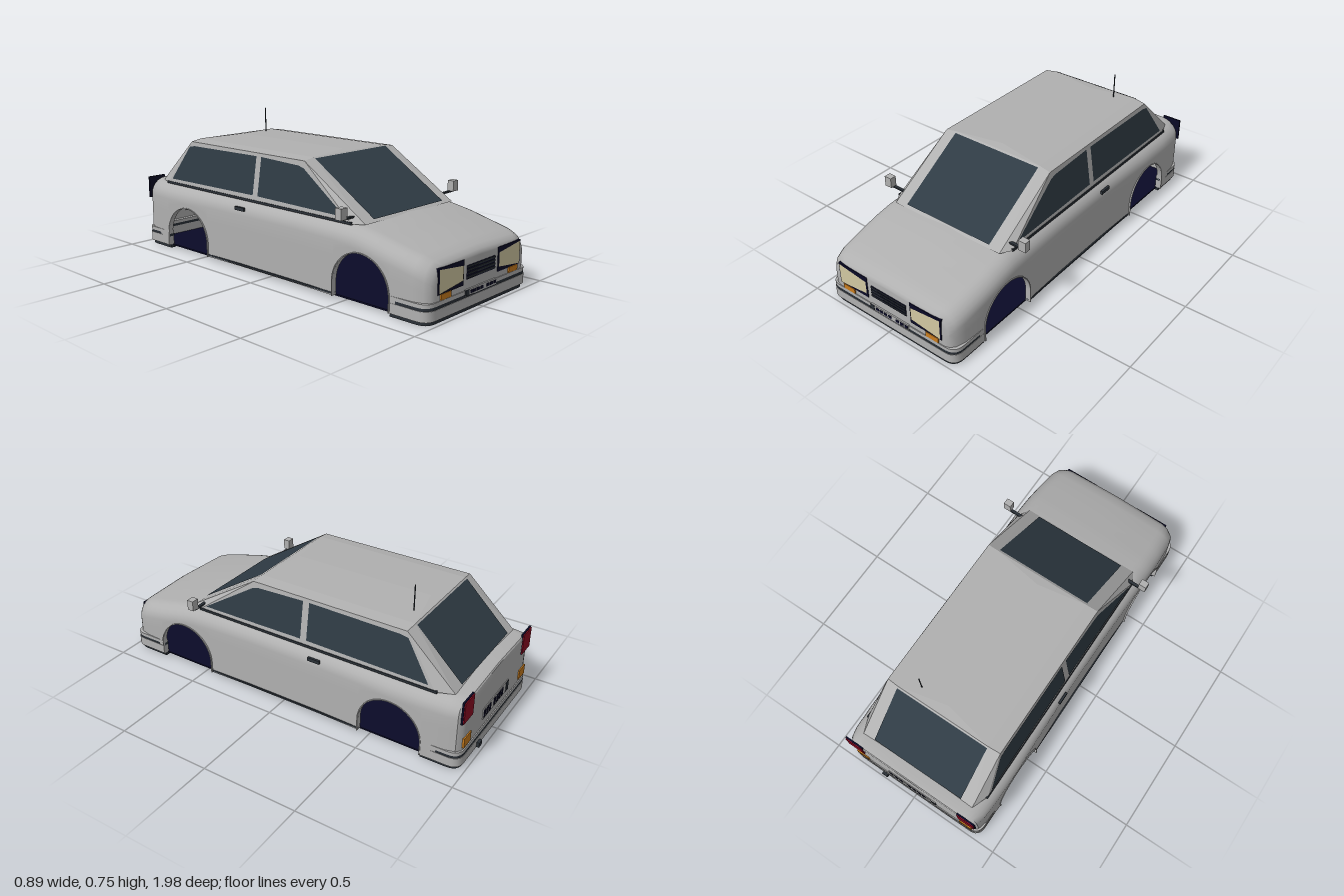
import * as THREE from 'three';
import { toCreasedNormals } from 'three/addons/utils/BufferGeometryUtils.js';
import { ConvexGeometry } from 'three/addons/geometries/ConvexGeometry.js';

const mat = (name, color, side = THREE.FrontSide) => {
  const m = new THREE.MeshStandardMaterial({ color, side });
  m.name = name;
  return m;
};

export function createModel() {
  const car = new THREE.Group();
  car.name = 'car';
  const paint = mat('silver paint', 0xb0b0b0, THREE.DoubleSide);
  const glass = mat('dark glass', 0x2f3b44, THREE.DoubleSide);
  const trim = mat('dark trim', 0x2a3037);
  const navy = mat('navy black', 0x0a0a26, THREE.DoubleSide);
  const lens = mat('cream lens', 0xd2c8a2, THREE.DoubleSide);
  const orange = mat('orange lens', 0xc87c1e);
  const red = mat('red lens', 0x8e0a22);

  const add = (name, geo, material) => {
    const m = new THREE.Mesh(geo, material);
    m.name = name;
    car.add(m);
    return m;
  };
  // box given by its limits on each axis
  const box = (name, material, x0, x1, y0, y1, z0, z1) =>
    add(name, new THREE.BoxGeometry(Math.abs(x1 - x0), y1 - y0, Math.abs(z1 - z0)), material)
      .position.set((x0 + x1) / 2, (y0 + y1) / 2, (z0 + z1) / 2);
  const surface = (pos, index) => {
    const g = new THREE.BufferGeometry();
    g.setAttribute('position', new THREE.Float32BufferAttribute(pos, 3));
    g.setIndex(index);
    return g;
  };
  // flat convex plate from corner points
  const plate = (name, material, pts) => {
    const idx = [];
    for (let i = 1; i < pts.length - 1; i++) idx.push(0, i, i + 1);
    const g = surface(pts.flat(), idx);
    g.computeVertexNormals();
    return add(name, g, material);
  };

  // lower body: stations along z as [z, half width, top height]
  const shape = [
    [0.98, 0.335, 0.25], [0.973, 0.36, 0.264], [0.95, 0.38, 0.28], [0.9, 0.393, 0.297],
    [0.78, 0.4, 0.324], [0.68, 0.402, 0.348], [0.57, 0.4, 0.369], [0.45, 0.397, 0.373],
    [0.2, 0.391, 0.376], [-0.2, 0.391, 0.376], [-0.45, 0.397, 0.375], [-0.615, 0.403, 0.374],
    [-0.78, 0.402, 0.372], [-0.9, 0.396, 0.372], [-0.95, 0.383, 0.375], [-0.968, 0.362, 0.373],
    [-0.973, 0.34, 0.367],
  ];
  const at = (z) => {
    let i = 0;
    while (i < shape.length - 2 && z < shape[i + 1][0]) i++;
    const a = shape[i], b = shape[i + 1], t = (a[0] - z) / (a[0] - b[0]);
    return [a[1] + (b[1] - a[1]) * t, a[2] + (b[2] - a[2]) * t];
  };
  const floorY = 0.018, archR = 0.165, archY = 0.085, archZ = [0.615, -0.615];
  const stations = shape.map((s) => [s[0], floorY])
    .filter(([z]) => archZ.every((c) => Math.abs(z - c) > archR + 0.001));
  for (const c of archZ) {
    const span = [[c + archR, floorY]];
    for (let k = 0; k <= 18; k++) {
      const a = (k / 18) * Math.PI;
      span.push([c + archR * Math.cos(a), archY + archR * Math.sin(a)]);
    }
    span.push([c - archR, floorY]);
    const where = stations.findIndex(([z]) => z < c);
    stations.splice(where, 0, ...span);
  }
  const section = (z, yb, s = 1) => {
    const [w, top] = at(z), half = [];
    const ys = Math.max(top - 0.092, yb + 0.005);
    for (let i = 0; i < 4; i++) half.push([w, yb + (ys - yb) * i / 4]);
    for (let i = 0; i <= 6; i++) {
      const a = (i / 6) * Math.PI / 2;
      half.push([w - 0.085 + 0.085 * Math.cos(a), ys + (top - 0.01 - ys) * Math.sin(a)]);
    }
    const ring = [...half, [0, top], ...half.map(([x, y]) => [-x, y]).reverse()];
    return ring.map(([x, y]) => [x * s, y, z]);
  };
  const rings = stations.map(([z, yb]) => section(z, yb));
  rings.unshift(section(shape[0][0], floorY, 0));
  rings.push(section(shape[shape.length - 1][0], floorY, 0));
  const n = rings[0].length, index = [];
  for (let r = 0; r < rings.length - 1; r++) {
    const cap = r === 0 || r === rings.length - 2;
    if (!cap && Math.abs(rings[r][0][2] - rings[r + 1][0][2]) < 1e-6) continue;
    for (let i = 0; i < n - 1; i++) {
      const a = r * n + i, b = a + n;
      index.push(a, b, a + 1, b, b + 1, a + 1);
    }
  }
  add('lowerBody', toCreasedNormals(surface(rings.flat(2), index), 0.6), paint);

  // underside
  box('floorPan', navy, -0.375, 0.375, 0.012, 0.02, -0.95, 0.95);

  // wheel arch lips
  const lip = new THREE.Shape();
  lip.moveTo(archR + 0.005, floorY).lineTo(archR + 0.005, archY);
  lip.absarc(0, archY, archR + 0.005, 0, Math.PI, false);
  lip.lineTo(-archR - 0.005, floorY).lineTo(-archR, floorY).lineTo(-archR, archY);
  lip.absarc(0, archY, archR, Math.PI, 0, true);
  lip.lineTo(archR, floorY);
  const lipGeo = new THREE.ExtrudeGeometry(lip, { depth: 0.03, bevelEnabled: false, curveSegments: 20 });
  for (const c of archZ) for (const s of [-1, 1]) {
    const m = add('wheelArchLip', lipGeo, paint);
    m.rotation.y = Math.PI / 2;
    m.position.set(s * 0.39 - 0.015, 0, c);
  }

  // cabin
  const up = 0.603, base = 0.362, corners = [];
  for (const s of [-1, 1]) {
    for (const [x, y, z] of [
      [0.328, base, 0.585], [0.362, base, 0.53], [0.362, base, -0.82], [0.328, base, -0.905],
      [0.325, up, 0.2], [0.325, up, -0.65], [0.26, 0.612, 0.195], [0.26, 0.612, -0.655],
      [0.001, 0.618, 0.15], [0.001, 0.618, -0.6],
    ]) corners.push(new THREE.Vector3(s * x, y, z));
  }
  add('cabin', new ConvexGeometry(corners), paint);
  box('beltSeal', trim, -0.365, 0.365, 0.358, 0.37, -0.83, 0.53);

  // windscreen and rear window lie just outside the cabin slopes
  plate('windscreen', glass, [[-0.26, 0.375, 0.575], [0.26, 0.375, 0.575], [0.26, 0.608, 0.206], [-0.26, 0.608, 0.206]]);
  plate('rearWindow', glass, [[0.26, 0.375, -0.902], [-0.26, 0.375, -0.902], [-0.26, 0.608, -0.664], [0.26, 0.608, -0.664]]);

  // side windows, mirrors, handles and sills
  const sideX = (y) => 0.362 - (0.037 * (y - base)) / (up - base) + 0.003;
  const panes = {
    frontSideWindow: [[0.49, 0.387], [-0.095, 0.393], [-0.095, 0.587], [0.165, 0.578], [0.2, 0.57]],
    rearSideWindow: [[-0.13, 0.393], [-0.785, 0.387], [-0.66, 0.575], [-0.62, 0.582], [-0.13, 0.587]],
  };
  for (const s of [-1, 1]) {
    for (const [name, pts] of Object.entries(panes)) {
      const p = pts.map(([z, y]) => [s * sideX(y), y, z]);
      plate(name, glass, s > 0 ? p : p.reverse());
    }
    box('mirror', paint, s * 0.402, s * 0.443, 0.393, 0.447, 0.505, 0.54);
    box('mirrorArm', trim, s * 0.335, s * 0.42, 0.386, 0.394, 0.508, 0.524);
    box('doorHandle', trim, s * 0.385, s * 0.397, 0.31, 0.328, -0.227, -0.16);
    box('sillStrip', trim, s * 0.38, s * 0.398, 0.024, 0.033, -0.45, 0.45);
  }

  // bumpers: stacked U-shaped bands
  const band = (name, material, y0, y1, w, end, flip) => {
    const u = new THREE.Shape(), r = 0.06, t = 0.03;
    u.moveTo(w, 0.78).lineTo(w, end - r).quadraticCurveTo(w, end, w - r, end);
    u.lineTo(r - w, end).quadraticCurveTo(-w, end, -w, end - r).lineTo(-w, 0.78).lineTo(t - w, 0.78);
    u.lineTo(t - w, end - r).lineTo(r - w, end - t).lineTo(w - r, end - t);
    u.lineTo(w - t, end - r).lineTo(w - t, 0.78);
    const g = new THREE.ExtrudeGeometry(u, { depth: y1 - y0, bevelEnabled: false, curveSegments: 6 });
    g.rotateX(Math.PI / 2).translate(0, y1, 0);
    if (flip) g.rotateY(Math.PI);
    add(name, toCreasedNormals(g, 0.6), material);
  };
  for (const [flip, end] of [[false, 0.986], [true, 0.98]]) {
    band('bumperLip', trim, 0, 0.018, 0.39, end - 0.008, flip);
    band('bumper', paint, 0.018, 0.066, 0.4, end, flip);
    band('bumperStrip', trim, 0.066, 0.08, 0.398, end - 0.002, flip);
    band('bumperTop', paint, 0.08, 0.098, 0.4, end - 0.002, flip);
  }

  // lamps
  for (const s of [-1, 1]) {
    box('headlampFrame', navy, s * 0.136, s * 0.323, 0.126, 0.243, 0.95, 0.983);
    const p = [[0.142, 0.15], [0.317, 0.13], [0.317, 0.238], [0.142, 0.218]].map(([x, y]) => [s * x, y, 0.986]);
    plate('headlampLens', lens, s > 0 ? p : p.reverse());
    box('frontIndicator', orange, s * 0.228, s * 0.303, 0.1, 0.127, 0.96, 0.986);
    box('tailLampFrame', navy, s * 0.283, s * 0.387, 0.258, 0.376, -0.974, -0.965);
    box('tailLamp', red, s * 0.287, s * 0.383, 0.262, 0.372, -0.979, -0.974);
    box('rearIndicator', orange, s * 0.285, s * 0.357, 0.112, 0.165, -0.979, -0.965);
  }

  // grille with slats
  box('grille', navy, -0.11, 0.11, 0.147, 0.21, 0.97, 0.983);
  for (let i = 0; i < 4; i++) box('grilleSlat', trim, -0.11, 0.11, 0.152 + i * 0.016, 0.16 + i * 0.016, 0.975, 0.986);

  // number plates with plain marker bars
  box('frontPlate', paint, -0.122, 0.122, 0.073, 0.102, 0.97, 0.987);
  box('frontPlateBadge', trim, -0.123, -0.097, 0.075, 0.101, 0.97, 0.989);
  box('rearPlate', paint, -0.14, 0.15, 0.14, 0.2, -0.977, -0.965);
  box('rearPlateBadge', trim, -0.14, -0.112, 0.143, 0.197, -0.979, -0.965);
  for (const x of [-0.077, -0.051, -0.025, 0.004, 0.052, 0.08, 0.108]) {
    box('frontPlateBar', navy, x - 0.01, x + 0.01, 0.08, 0.094, 0.98, 0.989);
    box('rearPlateBar', navy, x * 1.1 + 0.008, x * 1.1 + 0.028, 0.15, 0.19, -0.979, -0.97);
  }
  box('towHook', trim, 0.175, 0.207, 0.02, 0.046, -0.994, -0.97);

  // aerial
  add('aerial', new THREE.CylinderGeometry(0.003, 0.003, 0.14, 8), trim).position.set(0.163, 0.677, -0.595);
  return car;
}
